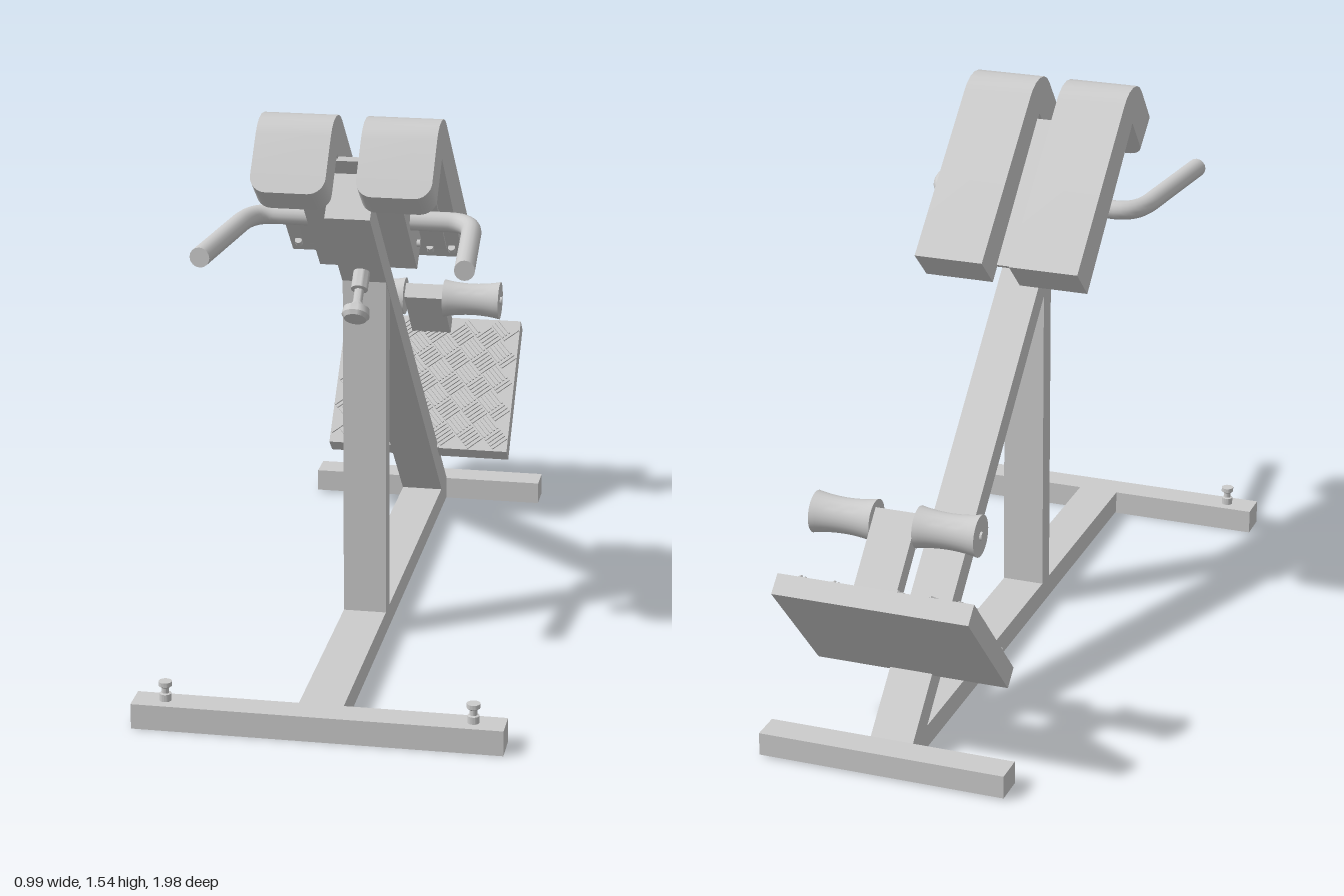
import * as THREE from 'three';
import { mergeGeometries, toCreasedNormals } from 'three/addons/utils/BufferGeometryUtils.js';

const material = new THREE.MeshStandardMaterial({ color: 0xcccccc });

export function createModel() {
  const model = new THREE.Group();

  const add = (name, geometry, parent = model) => {
    const mesh = new THREE.Mesh(geometry, material);
    mesh.name = name;
    parent.add(mesh);
    return mesh;
  };
  // Box given by its limits on each axis
  const box = (name, x0, x1, y0, y1, z0, z1) =>
    add(name, new THREE.BoxGeometry(x1 - x0, y1 - y0, z1 - z0)
      .translate((x0 + x1) / 2, (y0 + y1) / 2, (z0 + z1) / 2));
  // Side profile of [z, y] points, extruded across x from -half to half
  const profile = (name, points, half) => {
    const shape = new THREE.Shape(points.map(([z, y]) => new THREE.Vector2(z, y)));
    const geo = new THREE.ExtrudeGeometry(shape, { depth: 2 * half, bevelEnabled: false });
    return add(name, geo.rotateY(-Math.PI / 2).translate(half, 0, 0));
  };
  // Turned part from [radius, height] points
  const turned = (points, segments = 24) => toCreasedNormals(
    new THREE.LatheGeometry(points.map(([r, h]) => new THREE.Vector2(r, h)), segments), 0.6);

  // Floor frame
  box('frontFoot', -0.495, 0.495, 0, 0.07, 0.915, 1);
  box('floorBeam', -0.06, 0.06, 0.005, 0.07, -0.84, 0.915);
  box('rearFoot', -0.35, 0.35, 0.005, 0.07, -0.925, -0.838);
  for (const s of [-1, 1]) {
    add('footBolt', turned([[0, 0], [0.016, 0], [0.016, 0.02], [0.01, 0.022], [0.01, 0.036],
      [0.018, 0.042], [0.018, 0.054], [0, 0.054]], 16)).position.set(s * 0.41, 0.07, 0.957);
  }

  // Upright and sloping beam
  profile('upright', [[0.21, 0.07], [0.27, 0.07], [0.27, 1.045], [0.21, 0.99]], 0.06);
  profile('slopingBeam', [[-0.838, 0.07], [-0.735, 0.07], [0.525, 1.285], [0.482, 1.328]], 0.061);

  // Pad carrier
  profile('padCarrier', [[0.205, 1.063], [0.46, 1.31], [0.396, 1.374], [0.14, 1.13]], 0.135);
  profile('padPlate', [[0.1, 1.092], [0.44, 1.42], [0.432, 1.43], [0.092, 1.1]], 0.2);
  for (const s of [-1, 1]) {
    add('carrierBolt', new THREE.CylinderGeometry(0.01, 0.01, 0.012, 16).rotateZ(Math.PI / 2))
      .position.set(s * 0.138, 1.137, 0.208);
    for (const x of [0.155, 0.215]) {
      add('padBolt', new THREE.CylinderGeometry(0.01, 0.01, 0.02, 12).rotateX(Math.PI / 4))
        .position.set(s * x, 1.094, 0.103);
    }
  }

  // Hooked pads: [outer z, outer y, inner z, inner y, half width] along the length
  const stations = [
    [-0.03, 1.145, 0.06, 1.06, 0.1], [0.375, 1.515, 0.44, 1.43, 0.1],
    [0.393, 1.528, 0.443, 1.434, 0.1], [0.42, 1.54, 0.446, 1.438, 0.1],
    [0.455, 1.545, 0.45, 1.44, 0.1], [0.49, 1.54, 0.453, 1.438, 0.1],
    [0.515, 1.528, 0.456, 1.434, 0.1], [0.535, 1.51, 0.46, 1.43, 0.1],
  ];
  for (let i = 0; i <= 8; i++) {
    const a = (i / 8) * Math.PI / 2, t = 0.72 + 0.28 * Math.sin(a);
    stations.push([0.535 + 0.105 * t, 1.51 - 0.13 * t, 0.46 + 0.095 * t, 1.43 - 0.115 * t,
      0.055 + 0.045 * Math.cos(a)]);
  }
  const padGeometry = () => {
    const pos = [], index = [];
    for (const [oz, oy, iz, iy, w] of stations) pos.push(-w, oy, oz, w, oy, oz, w, iy, iz, -w, iy, iz);
    for (let i = 0; i < stations.length - 1; i++) {
      for (let j = 0; j < 4; j++) {
        const a = i * 4 + j, b = i * 4 + (j + 1) % 4;
        index.push(a, a + 4, b, b, a + 4, b + 4);
      }
    }
    const e = (stations.length - 1) * 4;
    index.push(0, 1, 2, 0, 2, 3, e, e + 2, e + 1, e, e + 3, e + 2);
    const geo = new THREE.BufferGeometry();
    geo.setAttribute('position', new THREE.Float32BufferAttribute(pos, 3));
    geo.setIndex(index);
    return toCreasedNormals(geo, 0.6);
  };
  for (const s of [-1, 1]) add('hipPad', padGeometry()).position.x = s * 0.14;

  // Curved handles with closed ends
  for (const s of [-1, 1]) {
    const p = (x, z) => new THREE.Vector3(s * x, 1.228, z);
    const path = new THREE.CurvePath();
    path.add(new THREE.LineCurve3(p(0.1, 0.305), p(0.235, 0.305)));
    path.add(new THREE.CubicBezierCurve3(p(0.235, 0.305), p(0.285, 0.305), p(0.306, 0.34), p(0.313, 0.41)));
    path.add(new THREE.LineCurve3(p(0.313, 0.41), p(0.346, 0.75)));
    add('handle', new THREE.TubeGeometry(path, 40, 0.027, 16));
    add('handleEnd', new THREE.CircleGeometry(0.027, 16).rotateY(s * 0.097)).position.copy(p(0.346, 0.75));
  }

  // Adjustment knob, square to the sloping beam
  const knob = add('adjustmentKnob', turned([[0, 0], [0.023, 0], [0.023, 0.065], [0.013, 0.068],
    [0.013, 0.105], [0.022, 0.118], [0.036, 0.125], [0.038, 0.145], [0.03, 0.156], [0, 0.158]]));
  knob.position.set(0, 1.085, 0.3);
  knob.rotation.x = Math.PI * 0.75;

  // Tilted foot plate with a woven tread of raised ribs
  const foot = new THREE.Group();
  foot.name = 'footPlate';
  foot.position.set(0, 0.4025, -0.79);
  foot.rotation.x = -0.745;
  model.add(foot);
  add('plate', new THREE.BoxGeometry(0.55, 0.442, 0.06).translate(0, 0, -0.03), foot);
  const ribs = [], cell = 0.06, tilt = 0.72;
  for (let i = -7; i <= 7; i++) {
    for (let j = -7; j <= 7; j++) {
      for (let k = -2; k <= 2; k++) {
        const along = (i + j) % 2 === 0;
        const u = i * cell + (along ? 0 : k * 0.012), v = j * cell + (along ? k * 0.012 : 0);
        const x = u * Math.cos(tilt) - v * Math.sin(tilt), y = u * Math.sin(tilt) + v * Math.cos(tilt);
        if (Math.abs(x) > 0.252 || Math.abs(y) > 0.2) continue;
        ribs.push(new THREE.BoxGeometry(0.056, 0.006, 0.008)
          .rotateZ(tilt + (along ? 0 : Math.PI / 2)).translate(x, y, 0.002));
      }
    }
  }
  add('treadRibs', mergeGeometries(ribs), foot);

  // Ankle roller arm and rollers
  profile('rollerArm', [[-0.955, 0.545], [-0.92, 0.51], [-0.745, 0.685], [-0.78, 0.72]], 0.06);
  add('rollerAxle', new THREE.CylinderGeometry(0.012, 0.012, 0.476, 16).rotateZ(Math.PI / 2))
    .position.set(0, 0.68, -0.775);
  const rollerProfile = [[0, 0]];
  for (let i = 0; i <= 10; i++) {
    const t = i / 10;
    rollerProfile.push([0.048 + 0.009 * (2 * t - 1) ** 2, 0.172 * t]);
  }
  rollerProfile.push([0, 0.172]);
  for (const s of [-1, 1]) {
    const roller = add('ankleRoller', turned(rollerProfile, 28));
    roller.rotation.z = -s * Math.PI / 2;
    roller.position.set(s * 0.06, 0.68, -0.775);
  }
  return model;
}
